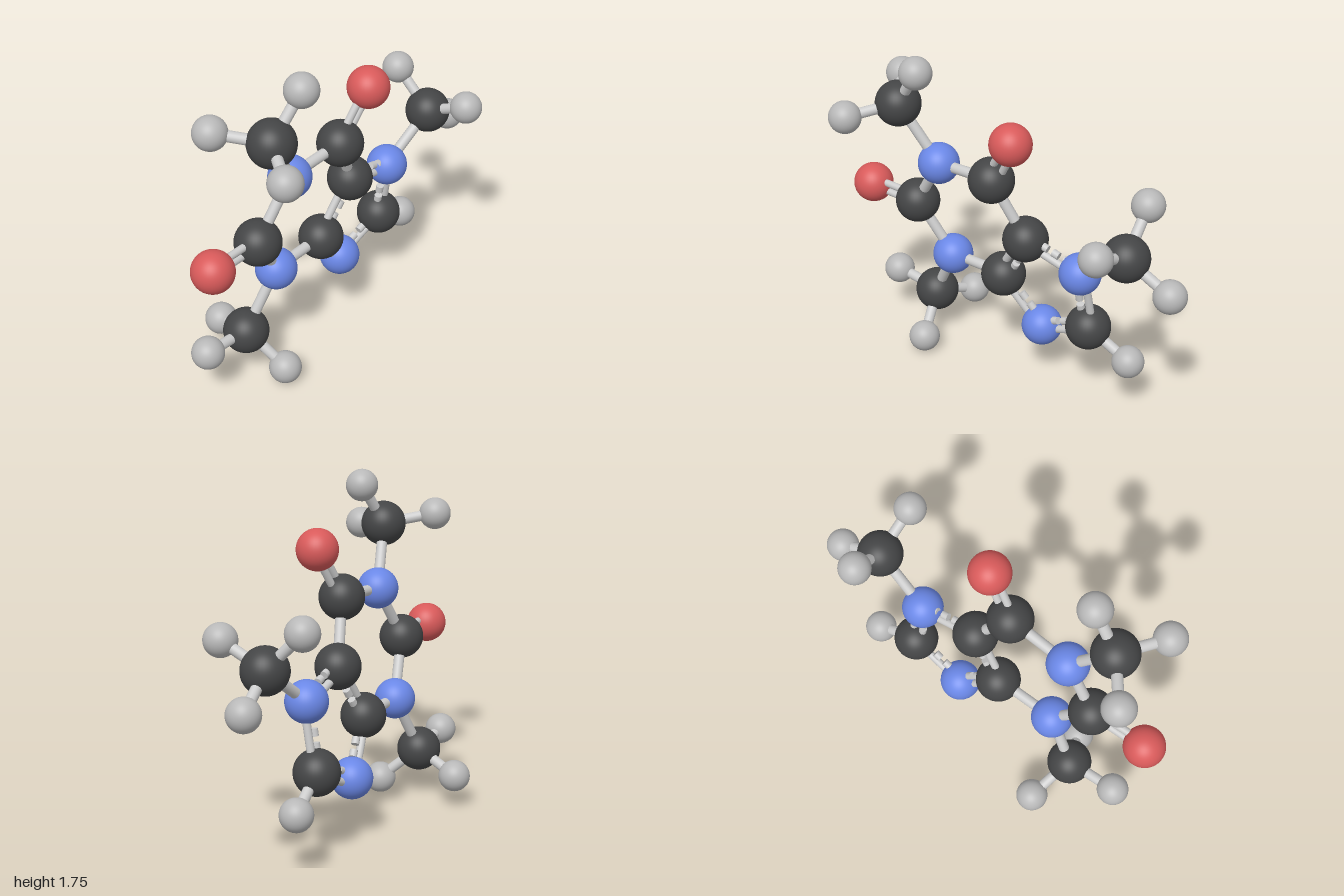
import * as THREE from 'three';

// Element: radius and colour
const ELEMENTS = {
  carbon: { r: 0.115, color: 0x444546 },
  nitrogen: { r: 0.105, color: 0x6a87e6 },
  oxygen: { r: 0.104, color: 0xd85a5a },
  hydrogen: { r: 0.082, color: 0xb8b8b8 },
};

// Atom: element and centre
const ATOMS = {
  N1: ['nitrogen', -0.405, 1.155, 0.035],
  C2: ['carbon', -0.594, 0.864, 0.01],
  O2: ['oxygen', -0.897, 0.871, 0.043],
  N3: ['nitrogen', -0.42, 0.578, -0.067],
  C4: ['carbon', -0.086, 0.583, -0.097],
  C5: ['carbon', 0.09, 0.872, -0.067],
  C6: ['carbon', -0.06, 1.178, 0.017],
  O6: ['oxygen', 0.096, 1.435, 0.05],
  N7: ['nitrogen', 0.407, 0.785, -0.113],
  C8: ['carbon', 0.417, 0.45, -0.178],
  N9: ['nitrogen', 0.117, 0.327, -0.17],
  H8: ['hydrogen', 0.64, 0.32, -0.225],
  // upper left methyl
  CA: ['carbon', -0.588, 1.455, 0.125],
  HA1: ['hydrogen', -0.428, 1.67, 0.152],
  HA2: ['hydrogen', -0.77, 1.5, -0.075],
  HA3: ['hydrogen', -0.722, 1.415, 0.357],
  // lower left methyl
  CB: ['carbon', -0.594, 0.262, -0.11],
  HB1: ['hydrogen', -0.862, 0.294, -0.082],
  HB2: ['hydrogen', -0.552, 0.172, -0.357],
  HB3: ['hydrogen', -0.508, 0.084, 0.077],
  // right methyl
  CC: ['carbon', 0.693, 1.0, -0.097],
  HC1: ['hydrogen', 0.663, 1.193, -0.285],
  HC2: ['hydrogen', 0.709, 1.108, 0.147],
  HC3: ['hydrogen', 0.916, 0.862, -0.151],
};

const SINGLE = ['N1 C2', 'C2 N3', 'N3 C4', 'C5 C6', 'C6 N1', 'C8 H8', 'N1 CA', 'N3 CB', 'N7 CC',
  'CA HA1', 'CA HA2', 'CA HA3', 'CB HB1', 'CB HB2', 'CB HB3', 'CC HC1', 'CC HC2', 'CC HC3'];
const DOUBLE = ['C2 O2', 'C6 O6'];
// Half-dashed ring bonds: ends and the side that carries the dashes
const AROMATIC = [['C4 C5', 1], ['C5 N7', -1], ['C8 N7', -1], ['N9 C8', -1], ['N9 C4', 1]];

const RING_NORMAL = new THREE.Vector3(0.11, -0.2, 1).normalize();
const UP = new THREE.Vector3(0, 1, 0);

export function createModel() {
  const model = new THREE.Group();
  model.name = 'molecule';
  const bondMaterial = new THREE.MeshStandardMaterial({ color: 0xcccccc });
  const position = (id) => new THREE.Vector3(...ATOMS[id].slice(1));

  // Atoms
  const kinds = {};
  for (const [kind, { r, color }] of Object.entries(ELEMENTS)) {
    kinds[kind] = {
      geometry: new THREE.SphereGeometry(r, 40, 28),
      material: new THREE.MeshStandardMaterial({ color }),
    };
  }
  for (const [id, [kind]] of Object.entries(ATOMS)) {
    const atom = new THREE.Mesh(kinds[kind].geometry, kinds[kind].material);
    atom.name = kind + 'Atom';
    atom.position.copy(position(id));
    model.add(atom);
  }

  // A straight rod between two points
  function rod(name, a, b, radius) {
    const mesh = new THREE.Mesh(
      new THREE.CylinderGeometry(radius, radius, a.distanceTo(b), 20), bondMaterial);
    mesh.name = name;
    mesh.position.lerpVectors(a, b, 0.5);
    mesh.quaternion.setFromUnitVectors(UP, b.clone().sub(a).normalize());
    model.add(mesh);
  }

  // Bond ends, shifted sideways within the ring plane
  function ends(pair, offset = 0) {
    const [a, b] = pair.split(' ').map(position);
    const side = b.clone().sub(a).cross(RING_NORMAL).setLength(offset);
    return [a.add(side), b.add(side)];
  }

  for (const pair of SINGLE) rod('singleBond', ...ends(pair), 0.027);

  for (const pair of DOUBLE) {
    for (const s of [-1, 1]) rod('doubleBond', ...ends(pair, s * 0.028), 0.019);
  }

  for (const [pair, side] of AROMATIC) {
    rod('ringBond', ...ends(pair, -side * 0.027), 0.02);
    const [a, b] = ends(pair, side * 0.027);
    for (let t = 0.15; t < 0.9; t += 0.2) {
      rod('ringBondDash', a.clone().lerp(b, t - 0.055), a.clone().lerp(b, t + 0.055), 0.02);
    }
  }
  return model;
}
